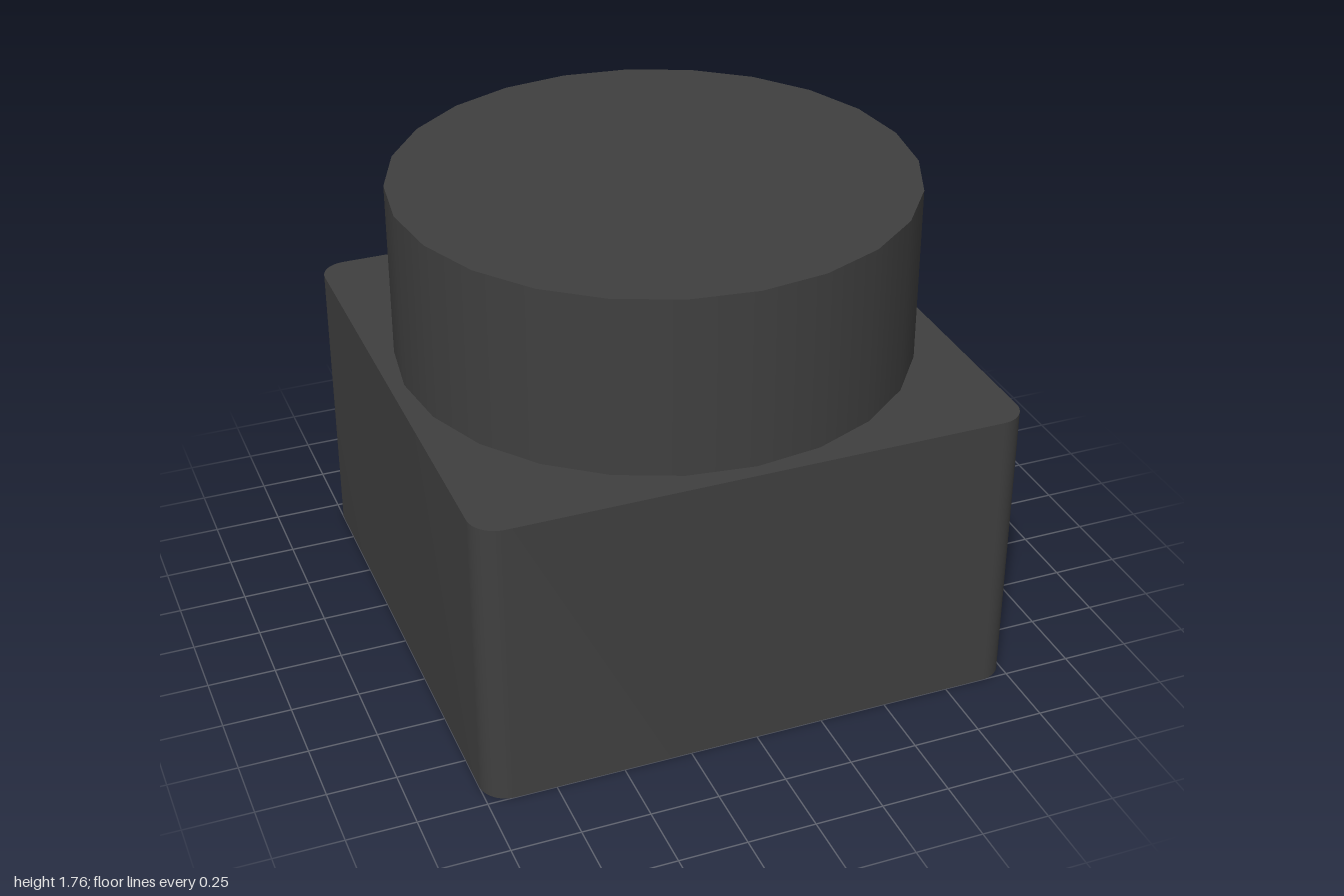
import * as THREE from 'three';
import { toCreasedNormals } from 'three/addons/utils/BufferGeometryUtils.js';

const BASE_HEIGHT = 1.1;
const TOTAL_HEIGHT = 1.76;

// Square outline with rounded corners, centred on the origin
function roundedSquare(half, radius) {
  const shape = new THREE.Shape();
  const c = half - radius;
  const corners = [[c, c], [-c, c], [-c, -c], [c, -c]];
  corners.forEach(([x, y], i) => {
    const start = i * Math.PI / 2;
    shape.absarc(x, y, radius, start, start + Math.PI / 2, false);
  });
  shape.closePath();
  return shape;
}

export function createModel() {
  const group = new THREE.Group();
  const material = new THREE.MeshStandardMaterial({ color: 0x404040 });

  // Square block with rounded upright edges
  const block = new THREE.ExtrudeGeometry(roundedSquare(1, 0.1), {
    depth: BASE_HEIGHT, bevelEnabled: false, curveSegments: 6,
  });
  block.rotateX(-Math.PI / 2);
  const base = new THREE.Mesh(toCreasedNormals(block, 0.6), material);
  base.name = 'base';
  group.add(base);

  // Round drum standing on the block
  const height = TOTAL_HEIGHT - BASE_HEIGHT;
  const drum = new THREE.Mesh(new THREE.CylinderGeometry(0.945, 0.945, height, 24), material);
  drum.name = 'drum';
  drum.position.y = BASE_HEIGHT + height / 2;
  group.add(drum);

  return group;
}
